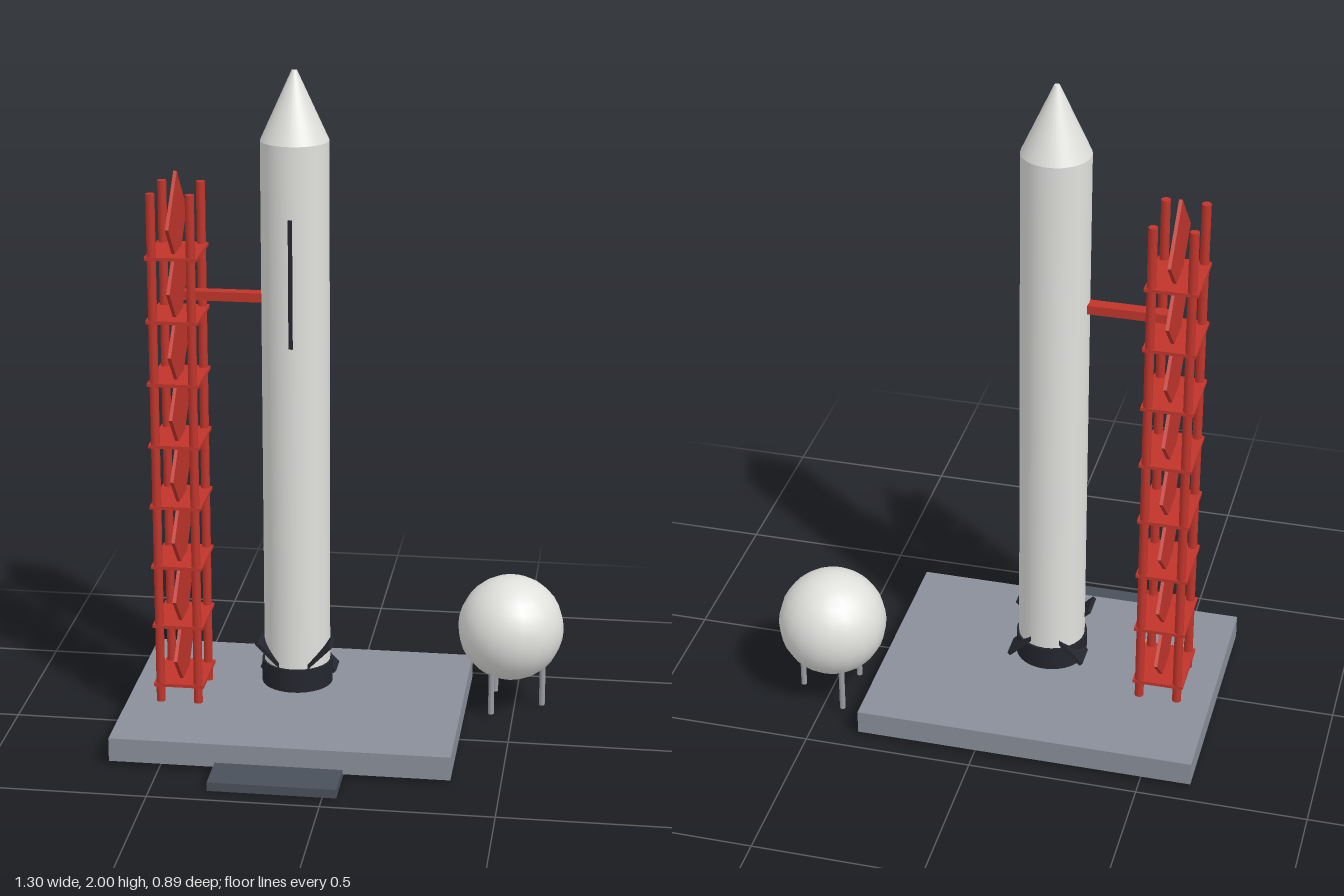
import * as THREE from 'three';

const mat = (name, color) => Object.assign(new THREE.MeshStandardMaterial({ color }), { name });

export function createModel() {
  const white = mat('white', 0xe0e0dd);
  const black = mat('black', 0x24262e);
  const red = mat('red', 0xc0352b);
  const concrete = mat('concrete grey', 0x8a8f99);
  const slate = mat('slate', 0x4a505a);
  const steel = mat('steel', 0x9a9da3);

  const model = new THREE.Group();
  model.name = 'launchPad';
  const group = (name, x, y, z) => {
    const g = new THREE.Group();
    g.name = name;
    g.position.set(x, y, z);
    model.add(g);
    return g;
  };
  const add = (parent, name, geo, material, x, y, z) => {
    const m = new THREE.Mesh(geo, material);
    m.name = name;
    m.position.set(x, y, z);
    parent.add(m);
    return m;
  };
  const box = (w, h, d) => new THREE.BoxGeometry(w, h, d);
  const cyl = (rTop, rBottom, h, n) => new THREE.CylinderGeometry(rTop, rBottom, h, n);

  // Pad and flame trench
  add(model, 'pad', box(1.005, 0.072, 0.755), concrete, -0.147, 0.0495, -0.067);
  add(model, 'flameTrench', box(0.376, 0.027, 0.188), slate, -0.147, 0.0135, 0.348);

  // Rocket
  const rocket = group('rocket', -0.145, 0, -0.066);
  add(rocket, 'body', cyl(0.099, 0.099, 1.62, 32), white, 0, 0.99, 0);
  add(rocket, 'nose', cyl(0.008, 0.099, 0.2, 32), white, 0, 1.9, 0);
  add(rocket, 'engineSkirt', cyl(0.106, 0.106, 0.072, 32), black, 0, 0.177, 0);
  add(rocket, 'stripe', box(0.012, 0.38, 0.008), black, 0, 1.4, 0.099);

  // Grid fins, each tilted by its own angle around the body
  for (let i = 0; i < 4; i++) {
    const a = Math.PI / 4 + (i * Math.PI) / 2;
    const fin = add(rocket, 'fin', box(0.175, 0.012, 0.076), black,
      0.07 * Math.cos(a), 0.225, 0.072 * Math.sin(a));
    fin.rotation.z = a;
  }

  // Service tower
  const tower = group('serviceTower', -0.492, 0, -0.066);
  for (const sx of [-1, 1])
    for (const sz of [-1, 1])
      add(tower, 'post', cyl(0.0135, 0.0135, 1.568, 12), red, sx * 0.057, 0.868, sz * 0.087);
  for (let i = 0; i < 8; i++) {
    const y = 0.14 + i * 0.189;
    add(tower, 'deck', box(0.152, 0.01, 0.2), red, 0, y, 0);
    const brace = add(tower, 'brace', box(0.01, 0.2, 0.2), red, 0, y + 0.096, 0);
    brace.rotation.x = Math.PI / 4;
  }
  add(tower, 'accessArm', box(0.24, 0.027, 0.038), red, 0.142, 1.336, -0.002);

  // Spherical fuel tank on three legs
  const tank = group('fuelTank', 0.485, 0, -0.256);
  add(tank, 'tankSphere', new THREE.SphereGeometry(0.161, 20, 16), white, 0, 0.266, 0);
  for (let i = 0; i < 3; i++) {
    const a = (i * Math.PI * 2) / 3;
    add(tank, 'tankLeg', cyl(0.009, 0.009, 0.16, 8), steel,
      0.1 * Math.cos(a), 0.0935, 0.1 * Math.sin(a));
  }

  return model;
}
